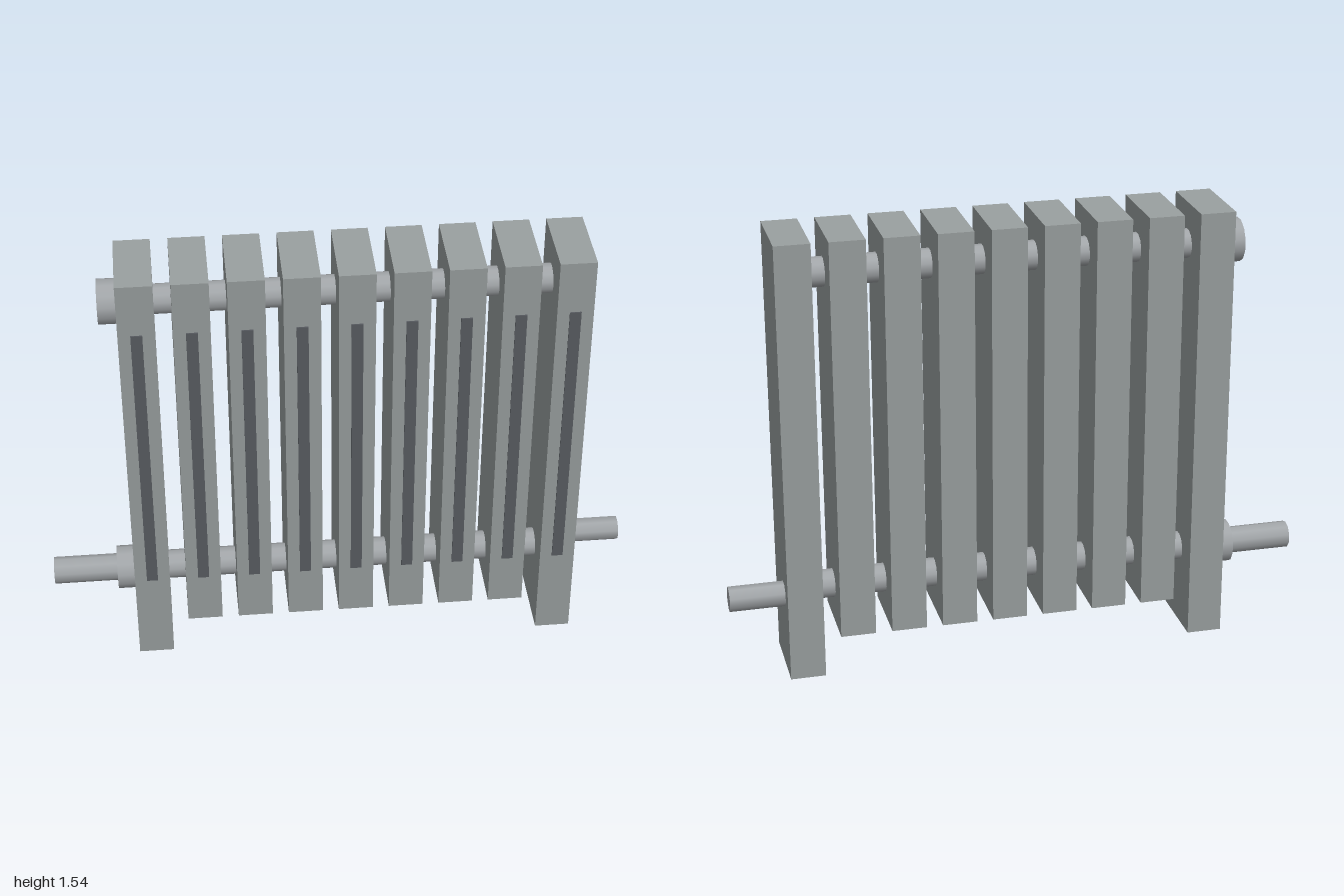
import * as THREE from 'three';

export function createModel() {
  const group = new THREE.Group();
  const mat = (name, color) => {
    const m = new THREE.MeshStandardMaterial({ color });
    m.name = name;
    return m;
  };
  const enamel = mat('grey enamel', 0x9aa0a0);
  const recess = mat('dark slot', 0x5a5e63);
  const metal = mat('pipe metal', 0xa4a8ab);

  const box = (name, material, w, y0, y1, z0, z1, x) => {
    const mesh = new THREE.Mesh(new THREE.BoxGeometry(w, y1 - y0, z1 - z0), material);
    mesh.position.set(x, (y0 + y1) / 2, (z0 + z1) / 2);
    mesh.name = name;
    group.add(mesh);
  };

  // Horizontal cylinder running from x0 to x1
  const pipe = (name, x0, x1, y, z, r, sides = 12) => {
    const geo = new THREE.CylinderGeometry(r, r, x1 - x0, sides);
    geo.rotateY(Math.PI / sides);
    geo.rotateZ(Math.PI / 2);
    const mesh = new THREE.Mesh(geo, metal);
    mesh.position.set((x0 + x1) / 2, y, z);
    mesh.name = name;
    group.add(mesh);
  };

  // Nine columns; the two end ones reach the floor as feet
  const count = 9;
  for (let i = 0; i < count; i++) {
    const x = -0.66 + i * 0.1765;
    const end = i === 0 || i === count - 1;
    box(end ? 'endColumn' : 'column', enamel, 0.12, end ? 0 : 0.14, 1.54, -0.14, 0.136, x);
    box('frontSlot', recess, 0.038, 0.33, 1.355, 0.134, 0.14, x);
  }

  // Headers joining the columns, with end collars
  for (const [label, y] of [['upper', 1.4], ['lower', 0.28]]) {
    pipe(label + 'Header', -0.66, 0.75, y, -0.003, 0.05);
    pipe(label + 'Collar', -0.78, -0.71, y, -0.003, 0.075);
  }

  // Supply and return pipes
  pipe('rightPipe', -1, -0.77, 0.28, -0.005, 0.047, 10);
  pipe('leftPipe', 0.8, 1, 0.282, -0.048, 0.043, 8);

  return group;
}
